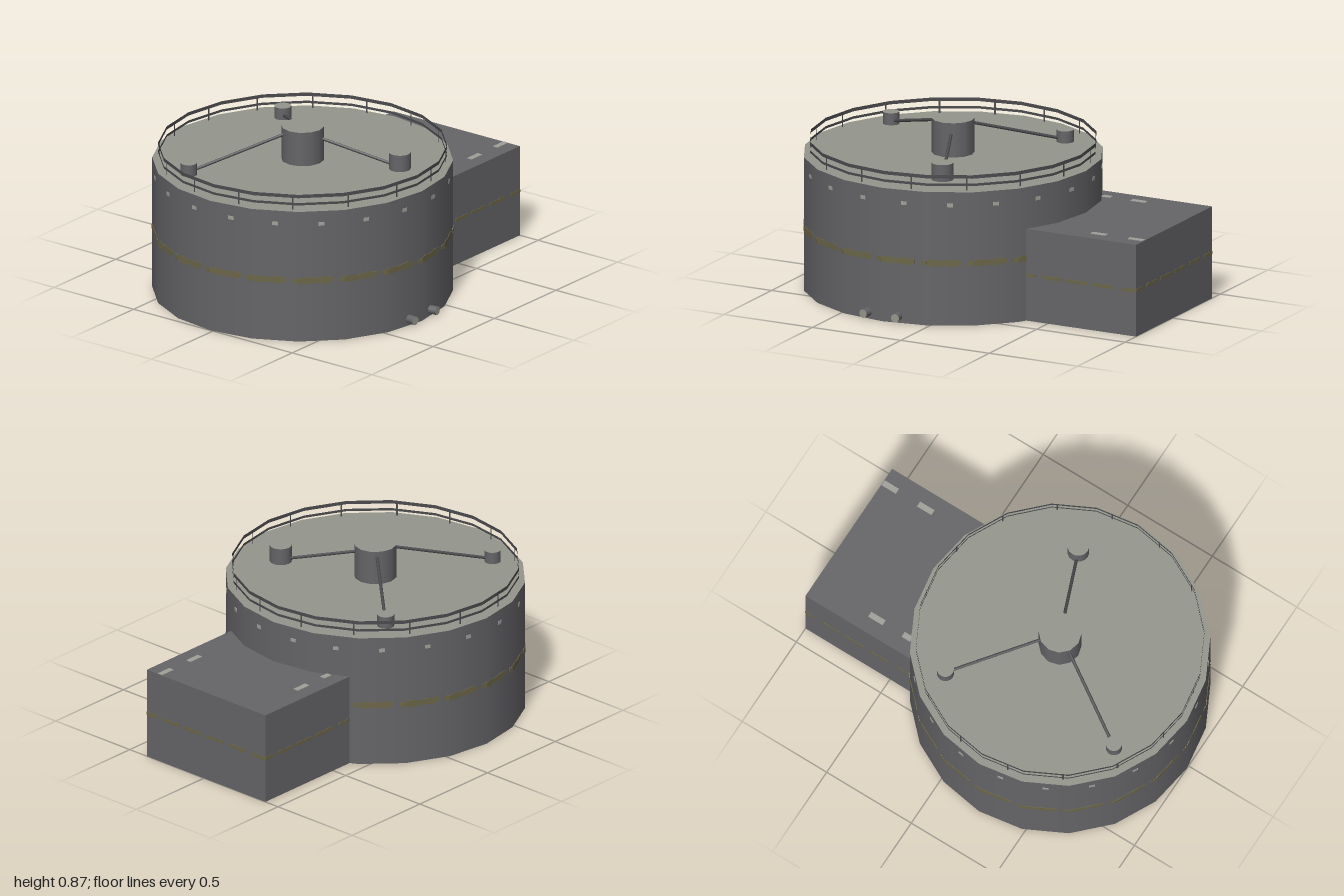
import * as THREE from 'three';

const CX = -0.015, CZ = 0.25;          // tank axis
const R = 0.75, H = 0.69, SIDES = 20;  // tank shell
const STEP = (Math.PI * 2) / SIDES;

export function createModel() {
  const model = new THREE.Group();
  const mat = (name, color, side = THREE.FrontSide) => {
    const m = new THREE.MeshStandardMaterial({ color, side });
    m.name = name;
    return m;
  };
  const wall = mat('wall grey', 0x656568, THREE.DoubleSide);
  const pale = mat('roof grey', 0x94958c, THREE.DoubleSide);
  const dark = mat('rail grey', 0x4c4c4f, THREE.DoubleSide);
  const yellow = mat('faded yellow', 0x6b6548);
  const lamp = mat('lamp grey', 0xa0a09a);

  const add = (parent, name, geometry, material, x = 0, y = 0, z = 0) => {
    const mesh = new THREE.Mesh(geometry, material);
    mesh.name = name;
    mesh.position.set(x, y, z);
    parent.add(mesh);
    return mesh;
  };
  const group = (parent, name, x = 0, y = 0, z = 0, turn = 0) => {
    const g = new THREE.Group();
    g.name = name;
    g.position.set(x, y, z);
    g.rotation.y = turn;
    parent.add(g);
    return g;
  };

  // Worn paint dash from x0 to x1, thin enough to show on both wall faces
  const dash = (x0, x1, h) => {
    const w = x1 - x0, s = new THREE.Shape();
    [[0, -0.3], [0.2, -0.5], [0.5, -0.36], [0.8, -0.5], [1, -0.2],
      [1, 0.35], [0.75, 0.5], [0.45, 0.32], [0.15, 0.5], [0, 0.3]]
      .forEach(([u, v], i) => s[i ? 'lineTo' : 'moveTo'](x0 + u * w, v * h));
    return new THREE.ExtrudeGeometry(s, { depth: 0.006, bevelEnabled: false }).translate(0, 0, -0.003);
  };

  // Main tank: shell open at the base, flat roof
  const tank = group(model, 'tank', CX, 0, CZ);
  add(tank, 'tankWall', new THREE.CylinderGeometry(R, R, H, SIDES, 1, true), wall, 0, H / 2);
  const roof = add(tank, 'tankRoof', new THREE.CircleGeometry(R, SIDES), pale, 0, H, 0);
  roof.rotation.x = -Math.PI / 2;

  // Painted band and small lamps, repeated on every facet
  const half = R * Math.sin(STEP / 2), apothem = R * Math.cos(STEP / 2);
  const longDash = dash(-half, half - 0.06, 0.038);
  const shortDash = dash(half - 0.03, half, 0.03);
  const lampGeo = new THREE.BoxGeometry(0.03, 0.018, 0.006);
  for (let i = 0; i < SIDES; i++) {
    const facet = group(tank, 'wallMarkings', 0, 0, 0, (i + 0.5) * STEP);
    add(facet, 'bandDash', longDash, yellow, 0, 0.323, apothem);
    add(facet, 'bandDashEnd', shortDash, yellow, 0, 0.323, apothem);
    add(facet, 'wallLamp', lampGeo, lamp, 0, 0.622, apothem);
  }

  // Railing: two flat bands on sixteen flat posts
  const railing = group(tank, 'railing');
  const RR = 0.72;
  [[0.761, 0.018], [0.72, 0.013]].forEach(([y, h]) =>
    add(railing, 'rail', new THREE.CylinderGeometry(RR, RR, h, SIDES, 1, true), dark, 0, y));
  for (let i = 0; i < 16; i++) {
    const g = group(railing, 'railPost', 0, 0, 0, ((i + 0.5) * Math.PI) / 8);
    add(g, 'post', new THREE.PlaneGeometry(0.009, 0.075), dark, 0, H + 0.0375, RR - 0.006);
  }

  // Upright drums with pale lids
  const drum = (name, r, y0, y1, x, z, sides) =>
    add(model, name, new THREE.CylinderGeometry(r, r, y1 - y0, sides), [wall, pale, pale], x, (y0 + y1) / 2, z);
  const HUB = 0.107;
  drum('roofHub', HUB, H, 0.867, CX, CZ, 12);

  // Vents, each joined to the hub by a sloping pipe
  [
    { x: -0.45, z: -0.15, r: 0.043, top: 0.752, from: 0.835 },
    { x: -0.33, z: 0.77, r: 0.041, top: 0.752, from: 0.835 },
    { x: 0.45, z: 0.06, r: 0.055, top: 0.777, from: 0.808 },
  ].forEach(v => {
    drum('roofVent', v.r, 0.68, v.top, v.x, v.z, 16);
    const out = new THREE.Vector3(v.x - CX, 0, v.z - CZ);
    const dist = out.length();
    out.normalize();
    const a = new THREE.Vector3(CX, v.from, CZ).addScaledVector(out, HUB - 0.01);
    const b = new THREE.Vector3(CX, 0.712, CZ).addScaledVector(out, dist - v.r + 0.005);
    add(model, 'ventPipe', new THREE.TubeGeometry(new THREE.LineCurve3(a, b), 1, 0.008, 8), dark);
  });

  // Pair of outlet stubs low on the tank side
  [-0.115, 0.115].forEach(a => {
    const g = group(tank, 'outlet', 0, 0.034, 0, Math.PI / 2 + a);
    const stub = add(g, 'outletStub', new THREE.CylinderGeometry(0.022, 0.022, 0.06, 12),
      [wall, pale, pale], 0, 0, 0.755);
    stub.rotation.x = Math.PI / 2;
  });

  // Annex behind the tank: three walls and a roof cut to the tank's curve
  const annex = group(model, 'annex', CX);
  const AW = 0.4, AH = 0.475, Z0 = -1, Z1 = -0.378, AL = Z1 - Z0;
  const plan = new THREE.Shape();
  [[-AW, 1], [-AW, -Z1], [-0.232, 0.463], [0, 0.5], [0.232, 0.463], [AW, -Z1], [AW, 1]]
    .forEach(([x, y], i) => plan[i ? 'lineTo' : 'moveTo'](x, y));
  const annexRoof = add(annex, 'annexRoof', new THREE.ShapeGeometry(plan), wall, 0, AH, 0);
  annexRoof.rotation.x = -Math.PI / 2;

  const annexSide = (name, w, x, z, turn, dashes) => {
    const g = group(annex, name, x, 0, z, turn);
    add(g, 'annexWall', new THREE.PlaneGeometry(w, AH), wall, 0, AH / 2);
    dashes.forEach(([a, b]) => add(g, 'annexDash', dash(a - w / 2, b - w / 2, 0.021), yellow, 0, 0.237));
  };
  const sideDashes = [[0, 0.055], [0.095, 0.2], [0.225, 0.345], [0.37, 0.495], [0.54, AL]];
  const backDashes = [[0, 0.07], [0.11, 0.22], [0.25, 0.37], [0.4, 0.52], [0.56, 0.67], [0.71, 0.8]];
  annexSide('annexLeft', AL, AW, (Z0 + Z1) / 2, Math.PI / 2, sideDashes);
  annexSide('annexRight', AL, -AW, (Z0 + Z1) / 2, -Math.PI / 2, sideDashes);
  annexSide('annexBack', AW * 2, 0, Z0, Math.PI, backDashes);

  // Pale lamps on the annex roof
  [[0.313, -0.955], [0.313, -0.745], [-0.31, -0.635], [-0.31, -0.455]].forEach(([x, z]) =>
    add(annex, 'annexRoofLamp', new THREE.BoxGeometry(0.03, 0.006, z === -0.455 ? 0.05 : 0.085), lamp, x, AH, z));

  return model;
}
